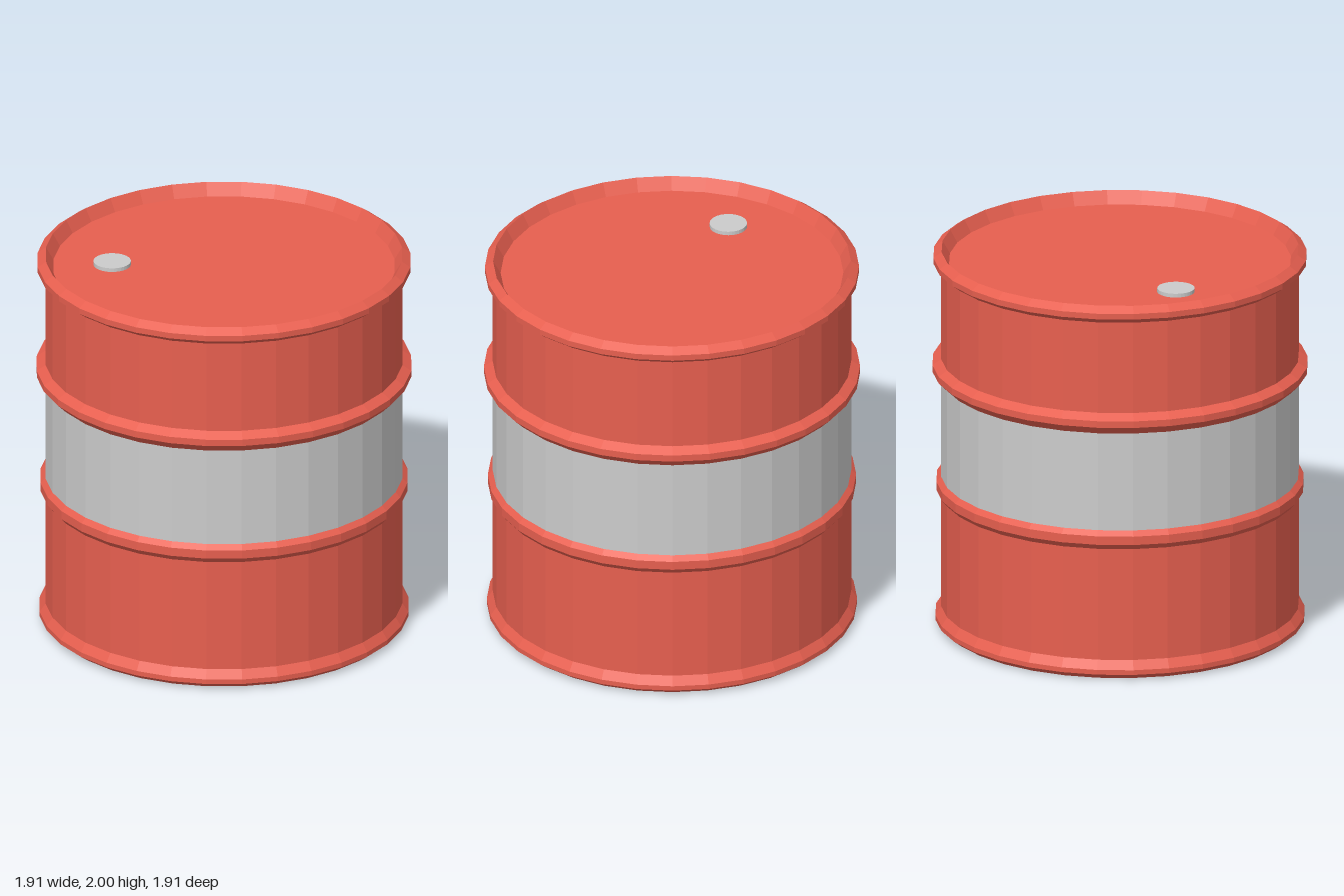
import * as THREE from 'three';

const SIDES = 32;
const R = 0.91; // drum wall radius

export function createModel() {
  const drum = new THREE.Group();
  drum.name = 'drum';

  const red = new THREE.MeshStandardMaterial({ color: 0xe75f4f, flatShading: true });
  const grey = new THREE.MeshStandardMaterial({ color: 0xcccccc, flatShading: true });

  // Revolves a [radius, height] profile, listed from bottom to top
  const turn = (name, profile, material) => {
    const points = profile.map(([r, y]) => new THREE.Vector2(r, y));
    const mesh = new THREE.Mesh(new THREE.LatheGeometry(points, SIDES), material);
    mesh.name = name;
    drum.add(mesh);
  };

  // Recessed base and bevelled bottom rim
  turn('base', [[0, 0.04], [0.885, 0.04]], red);
  turn('bottomRim', [[0.885, 0.04], [0.9, 0], [0.94, 0.03], [0.94, 0.055], [R, 0.1]], red);

  // Wall sections between the hoops
  turn('lowerWall', [[R, 0.1], [R, 0.695]], red);
  turn('middleBand', [[R, 0.795], [R, 1.315]], grey);
  turn('upperWall', [[R, 1.425], [R, 1.91]], red);

  // Raised rolling hoops
  turn('lowerHoop', [[R, 0.695], [0.935, 0.725], [0.935, 0.77], [R, 0.795]], red);
  turn('upperHoop', [[R, 1.315], [0.955, 1.36], [0.955, 1.395], [R, 1.425]], red);

  // Top rim, sloping inwards to the recessed lid
  turn('topRim', [[R, 1.91], [0.95, 1.94], [0.95, 1.97], [0.908, 2], [0.87, 1.935]], red);
  turn('lid', [[0.87, 1.935], [0, 1.935]], red);

  // Filler plug
  const plug = new THREE.Mesh(new THREE.CylinderGeometry(0.095, 0.095, 0.03, SIDES), grey);
  plug.name = 'fillerPlug';
  plug.position.set(-0.567, 1.94, 0.033);
  drum.add(plug);

  return drum;
}
